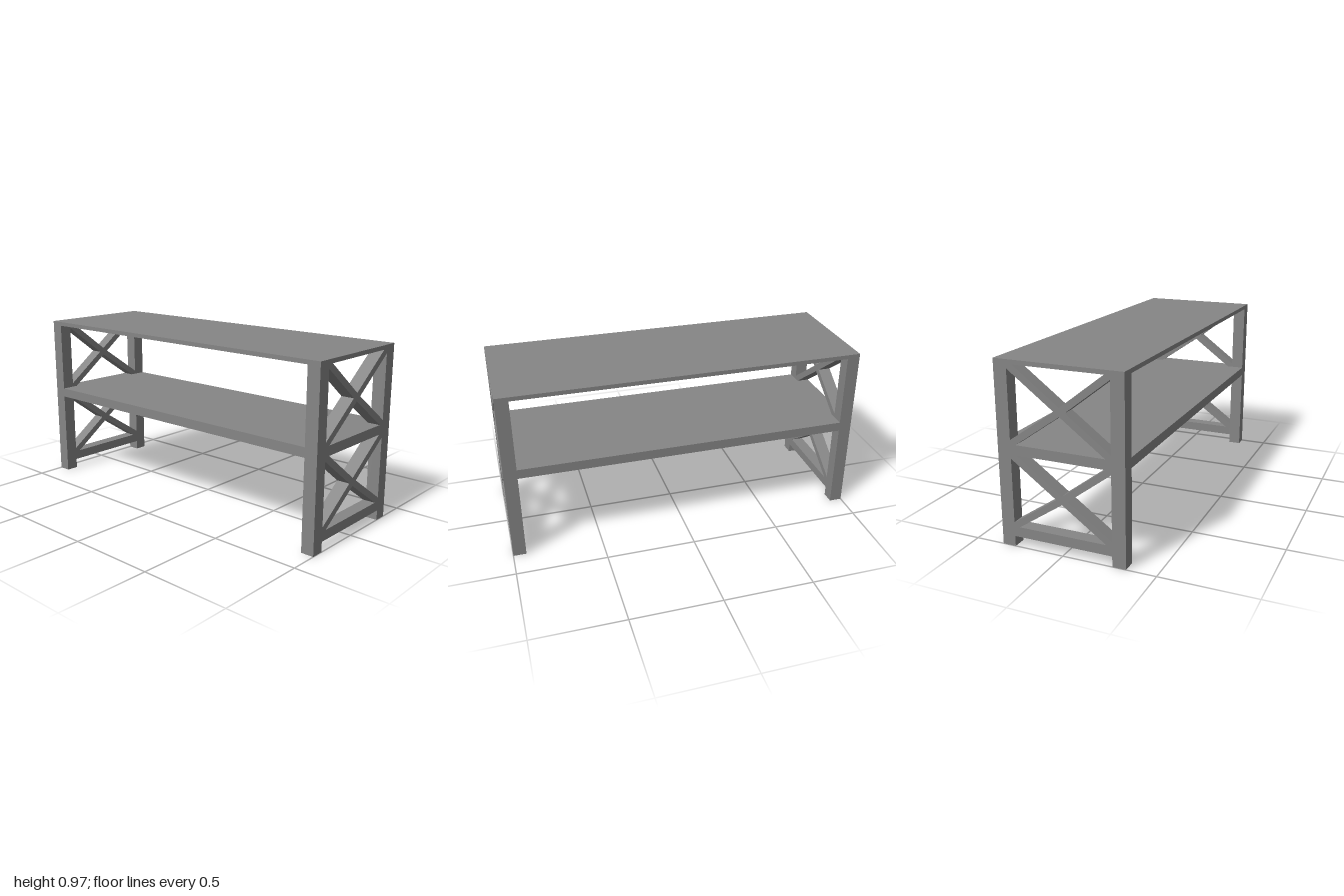
import * as THREE from 'three';

const material = new THREE.MeshStandardMaterial({ color: 0x868686 });

const LENGTH = 2, DEPTH = 0.686, LEG = 0.072;
const TOP = [0.95, 0.973], SHELF = [0.495, 0.548], STRETCHER = [0.056, 0.11];
const innerZ = DEPTH / 2 - LEG;   // half width of the opening between two legs
const legX = LENGTH / 2 - LEG / 2;

function add(parent, name, geometry, x, y, z) {
  const mesh = new THREE.Mesh(geometry, material);
  mesh.name = name;
  mesh.position.set(x, y, z);
  parent.add(mesh);
}

// Box spanning the heights [y0, y1]
function slab(parent, name, width, [y0, y1], depth, x = 0, z = 0) {
  add(parent, name, new THREE.BoxGeometry(width, y1 - y0, depth), x, (y0 + y1) / 2, z);
}

// X-shaped brace filling an opening, its arms cut flush at the corners
// and crossing slightly forward of and below the middle
function crossBrace(parent, name, y0, y1) {
  const a = innerZ, b = (y1 - y0) / 2;
  const h = 0.022, k = h * a / b;
  const cz = 0.006, cy = -0.005;
  const points = [
    [a, b - h], [a, b], [a - k, b], [cz, cy + h],
    [k - a, b], [-a, b], [-a, b - h], [cz - k, cy],
    [-a, h - b], [-a, -b], [k - a, -b], [cz, cy - h],
    [a - k, -b], [a, -b], [a, h - b], [cz + k, cy],
  ];
  const shape = new THREE.Shape(points.map(([u, v]) => new THREE.Vector2(u, v)));
  const geometry = new THREE.ExtrudeGeometry(shape, { depth: LEG, bevelEnabled: false });
  geometry.translate(0, 0, -LEG / 2).rotateY(-Math.PI / 2);
  add(parent, name, geometry, 0, (y0 + y1) / 2, 0);
}

export function createModel() {
  const table = new THREE.Group();
  table.name = 'consoleTable';

  slab(table, 'tableTop', LENGTH, TOP, DEPTH);
  slab(table, 'shelf', LENGTH - 2 * LEG, SHELF, DEPTH);

  // Matching end frames: two legs, two rails and two cross braces
  for (const side of [1, -1]) {
    const frame = new THREE.Group();
    frame.name = side > 0 ? 'leftEndFrame' : 'rightEndFrame';
    frame.position.x = side * legX;

    for (const end of [1, -1]) {
      slab(frame, end > 0 ? 'frontLeg' : 'backLeg', LEG, [0, TOP[0]], LEG, 0, end * (DEPTH - LEG) / 2);
    }
    slab(frame, 'middleRail', LEG, SHELF, 2 * innerZ);
    slab(frame, 'lowerStretcher', LEG, STRETCHER, 2 * innerZ);
    crossBrace(frame, 'upperCrossBrace', SHELF[1], TOP[0]);
    crossBrace(frame, 'lowerCrossBrace', STRETCHER[1], SHELF[0]);
    table.add(frame);
  }
  return table;
}
